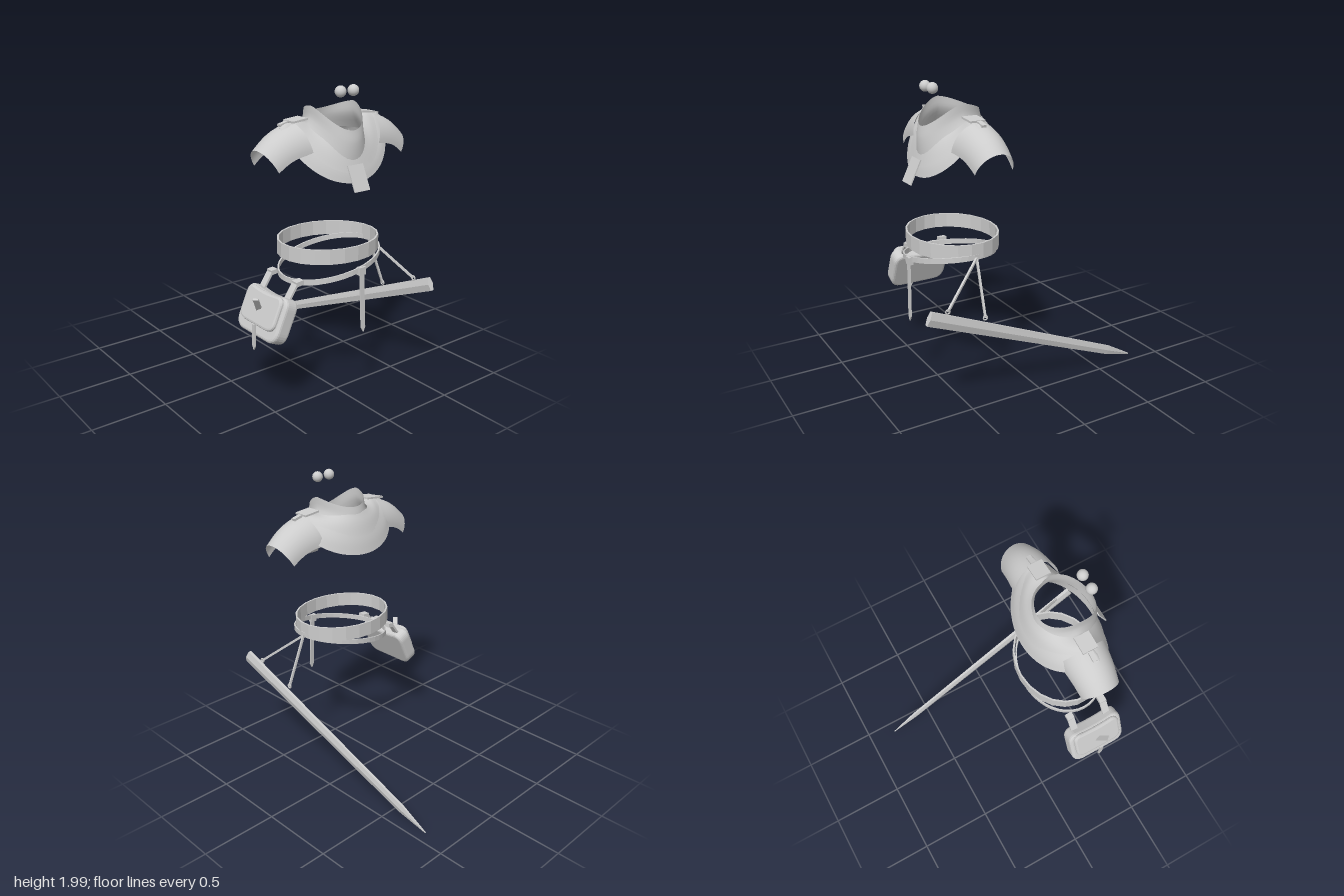
import * as THREE from 'three';

const grey = new THREE.MeshStandardMaterial({ color: 0xcccccc, side: THREE.DoubleSide });
grey.name = 'plain grey';
const { sin, cos, abs, PI } = Math;
const lerp = THREE.MathUtils.lerp;
const V = (x, y, z) => new THREE.Vector3(x, y, z);

function add(parent, name, geometry, x = 0, y = 0, z = 0) {
  const mesh = new THREE.Mesh(geometry, grey);
  mesh.name = name;
  mesh.position.set(x, y, z);
  parent.add(mesh);
  return mesh;
}

// Grid surface from a rule f(u, v) -> [x, y, z]; wrap closes it around u
function surface(f, nu, nv, wrap, faceted) {
  const pos = [], index = [];
  const cols = wrap ? nu : nu + 1;
  for (let j = 0; j <= nv; j++)
    for (let i = 0; i < cols; i++) pos.push(...f(i / nu, j / nv));
  for (let j = 0; j < nv; j++)
    for (let i = 0; i < nu; i++) {
      const a = j * cols + i, b = j * cols + ((i + 1) % cols);
      index.push(a, b, b + cols, a, b + cols, a + cols);
    }
  let g = new THREE.BufferGeometry();
  g.setAttribute('position', new THREE.Float32BufferAttribute(pos, 3));
  g.setIndex(index);
  if (faceted) g = g.toNonIndexed();
  g.computeVertexNormals();
  return g;
}

// Elliptical band with a rectangular section, its height following yAt(angle)
function band(cx, cz, rx, rz, yAt, h, t, n) {
  const section = [[0, -1], [0, 1], [-t, 1], [-t, -1], [0, -1]];
  return surface((u, v) => {
    const a = u * 2 * PI, [dr, s] = section[Math.round(v * 4)];
    return [cx + (rx + dr) * sin(a), yAt(a) + s * h / 2, cz + (rz + dr) * cos(a)];
  }, n, 4, true, true);
}

// Box stretched between two points
function beam(parent, name, a, b, w, d) {
  const mesh = add(parent, name, new THREE.BoxGeometry(w, d, a.distanceTo(b)));
  mesh.position.copy(a).lerp(b, 0.5);
  mesh.lookAt(b);
  return mesh;
}

// Hanging strip with a pointed end, starting at y = 0
function tongue(len, w) {
  const s = new THREE.Shape([[-w / 2, 0], [-w / 2, -len + w], [0, -len], [w / 2, -len + w], [w / 2, 0]]
    .map(p => new THREE.Vector2(...p)));
  return new THREE.ExtrudeGeometry(s, { depth: 0.01, bevelEnabled: false });
}

// Ring of cloth between stations {r:[x,front,back], y:[side,front,back], p}
function cloth(stations) {
  const ringPoint = (st, a) => {
    const c = cos(a), k = c > 0 ? 1 : 2, f = abs(c) ** st.p;
    return V(0.03 + st.r[0] * sin(a), lerp(st.y[0], st.y[k], f), 0.38 + st.r[k] * c);
  };
  return surface((u, v) => {
    const a = u * 2 * PI;
    return new THREE.CatmullRomCurve3(stations.map(s => ringPoint(s, a))).getPoint(v).toArray();
  }, 48, 8, true);
}

function buildMantle(group) {
  add(group, 'cowl', cloth([
    { r: [0.17, 0.2, 0.18], y: [1.88, 1.74, 1.82], p: 1.5 },
    { r: [0.175, 0.215, 0.195], y: [1.80, 1.66, 1.77], p: 1.3 },
    { r: [0.23, 0.21, 0.21], y: [1.70, 1.50, 1.70], p: 1.1 },
  ]));
  add(group, 'collar', cloth([
    { r: [0.20, 0.19, 0.19], y: [1.78, 1.64, 1.78], p: 1 },
    { r: [0.27, 0.215, 0.225], y: [1.80, 1.56, 1.72], p: 1 },
    { r: [0.32, 0.235, 0.255], y: [1.80, 1.49, 1.64], p: 1 },
  ]));
  add(group, 'cape', cloth([
    { r: [0.29, 0.21, 0.23], y: [1.79, 1.55, 1.70], p: 1 },
    { r: [0.36, 0.23, 0.265], y: [1.79, 1.48, 1.61], p: 1 },
    { r: [0.395, 0.24, 0.285], y: [1.77, 1.43, 1.53], p: 1 },
  ]));
  const tab = add(group, 'frontTab', new THREE.BoxGeometry(0.12, 0.165, 0.008), 0.02, 1.465, 0.645);
  tab.rotation.x = -0.45;

  // Arched shoulder pads, open below
  for (const side of [-1, 1]) {
    add(group, side > 0 ? 'leftShoulderPad' : 'rightShoulderPad', surface((u, v) => {
      const a = u * PI, k = sin(a), bulge = 0.02 * sin(v * PI);
      const s = lerp(lerp(0.26, 0.49, v), lerp(0.31, 0.56, v), k) + bulge * 0.5;
      const y = lerp(lerp(1.62, 1.53, v), lerp(1.79, 1.65, v), k) + bulge;
      return [0.04 + side * s, y, 0.36 + lerp(0.155, 0.125, v) * cos(a)];
    }, 20, 8));
    // Strap plate over the top of each shoulder
    const plate = add(group, 'shoulderPlate', new THREE.BoxGeometry(0.11, 0.012, 0.10),
      0.03 + side * 0.27, 1.803, 0.365);
    plate.rotation.z = -side * 0.1;
    beam(group, 'shoulderClip', V(0.03 + side * 0.33, 1.795, 0.36),
      V(0.03 + side * 0.39, 1.78, 0.36), 0.03, 0.015);
  }
}

function buildPouch(group) {
  const pouch = new THREE.Group();
  pouch.name = 'pouch';
  pouch.position.set(-0.49, 0.64, 0.4);
  pouch.rotation.z = -0.42;
  group.add(pouch);

  const outline = (w, h) => {
    const s = new THREE.Shape();
    s.moveTo(-w * 0.8, h);
    s.quadraticCurveTo(0, h * 0.8, w * 0.8, h);
    s.quadraticCurveTo(w, h, w, h * 0.6);
    s.lineTo(w, -h * 0.5);
    s.quadraticCurveTo(w, -h, w * 0.65, -h);
    s.lineTo(-w * 0.65, -h);
    s.quadraticCurveTo(-w, -h, -w, -h * 0.5);
    s.lineTo(-w, h * 0.6);
    s.quadraticCurveTo(-w, h, -w * 0.8, h);
    return s;
  };
  const body = add(pouch, 'pouchBody', new THREE.ExtrudeGeometry(outline(0.185, 0.125),
    { depth: 0.06, bevelThickness: 0.02, bevelSize: 0.02, bevelSegments: 3, curveSegments: 8 }), 0.035, 0, 0);
  body.rotation.y = -PI / 2;
  const flap = add(pouch, 'pouchFlap', new THREE.ExtrudeGeometry(outline(0.16, 0.095),
    { depth: 0.01, bevelThickness: 0.012, bevelSize: 0.015, bevelSegments: 2, curveSegments: 8 }), -0.045, 0.03, 0);
  flap.rotation.y = -PI / 2;
  beam(pouch, 'pouchStrap', V(-0.07, 0.13, 0), V(-0.075, -0.08, 0), 0.035, 0.012);

  const tail = add(group, 'pouchTail', tongue(0.17, 0.028), -0.585, 0.6, 0.41);
  tail.rotation.y = -PI / 2;
  // Loops that hold the pouch on the hip belt
  for (const z of [0.27, 0.525]) {
    const inner = z > 0.4 ? -0.315 : -0.325;
    beam(group, 'pouchLoop', V(-0.435, 0.74, z), V(-0.36, 0.85, z), 0.05, 0.015);
    beam(group, 'pouchLoopTop', V(-0.37, 0.845, z), V(inner, 0.85, z), 0.05, 0.03);
  }
}

function buildSword(group) {
  const hilt = V(0.53, 0.715, 0.80), tip = V(0.425, 0.012, -0.81);
  // Stations: distance along, height, thickness
  const st = [[0, 0, 0], [0, 0.088, 0.045], [0.875, 0.062, 0.028], [1, 0.008, 0.006], [1, 0, 0]];
  const hex = [[-0.5, 0], [-0.25, 0.5], [0.25, 0.5], [0.5, 0], [0.25, -0.5], [-0.25, -0.5]];
  add(group, 'scabbard', surface((u, v) => {
    const [d, h, t] = st[Math.round(v * 4)], [a, b] = hex[Math.round(u * 6) % 6];
    const p = hilt.clone().lerp(tip, d);
    return [p.x + a * t, p.y + b * h * 0.917, p.z - b * h * 0.4];
  }, 6, 4, true, true));
  // Two hangers from the belt to the scabbard
  for (const end of [V(0.51, 0.72, 0.665), V(0.49, 0.61, 0.4)]) {
    beam(group, 'swordHanger', V(0.36, 0.955, 0.385), end, 0.014, 0.014);
    const ring = add(group, 'hangerRing', new THREE.TorusGeometry(0.014, 0.005, 6, 12), end.x, end.y, end.z);
    ring.rotation.y = PI / 2;
  }
}

export function createModel() {
  const group = new THREE.Group();
  group.name = 'outfit';

  for (const x of [-0.025, 0.075])
    add(group, 'eye', new THREE.SphereGeometry(0.035, 24, 16), x, 1.967, 0.517);

  buildMantle(group);

  // Waist belt and the slanted hip belt below it
  add(group, 'waistBelt', band(0.015, 0.375, 0.345, 0.29, () => 0.997, 0.095, 0.012, 22));
  add(group, 'hipBelt', band(0.01, 0.395, 0.35, 0.29, a => 0.895 + 0.065 * sin(a), 0.034, 0.01, 40));
  add(group, 'beltKnot', new THREE.BoxGeometry(0.05, 0.05, 0.03), 0.025, 0.888, 0.685);
  const end = add(group, 'beltEnd', tongue(0.4, 0.032), 0.025, 0.88, 0.685);
  end.rotation.z = 0.035;
  end.rotation.x = -0.03;

  buildPouch(group);
  buildSword(group);
  return group;
}
